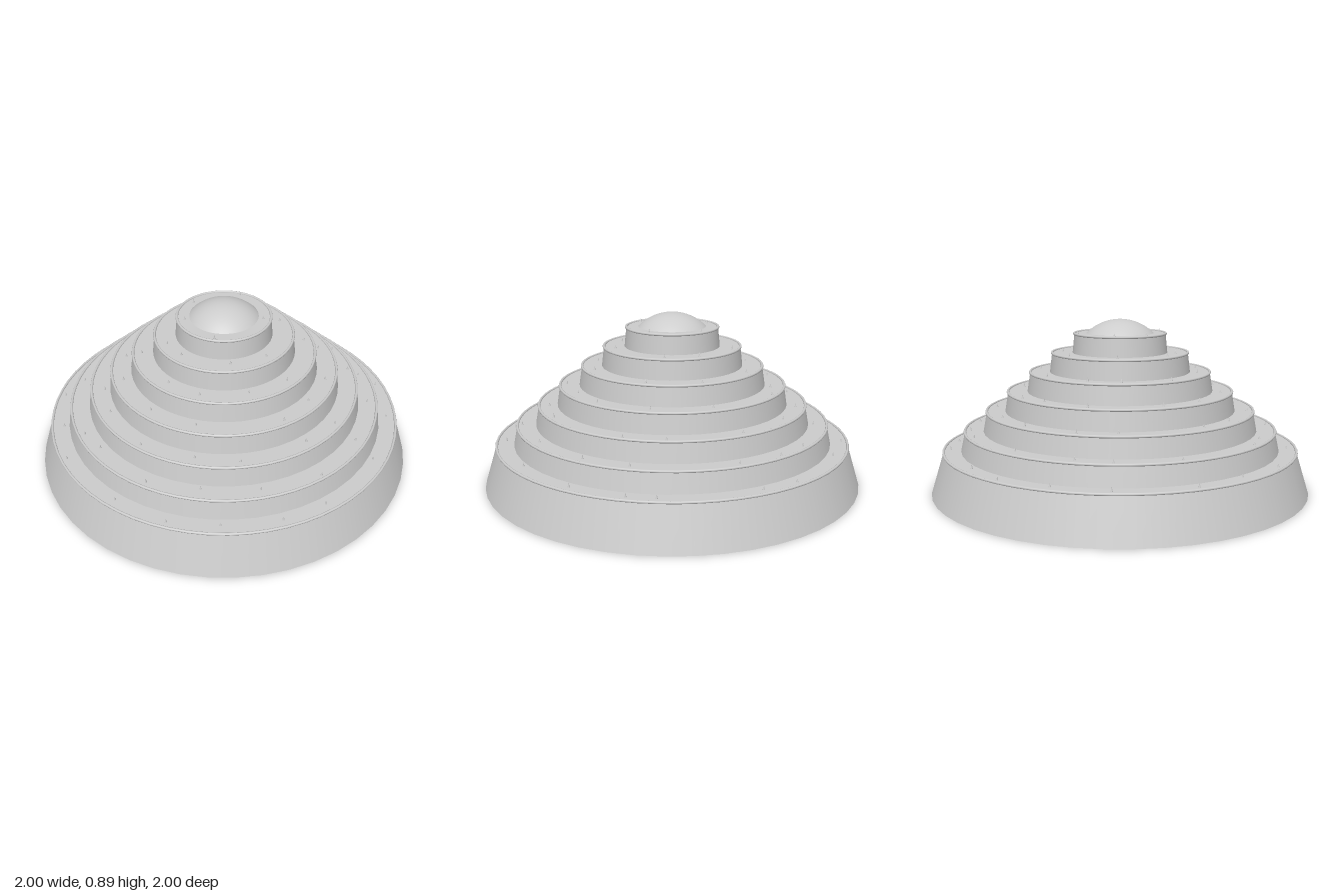
import * as THREE from 'three';

export function createModel() {
  const model = new THREE.Group();
  const stone = new THREE.MeshStandardMaterial({ color: 0xcccccc });
  stone.name = 'pale grey stone';

  const add = (name, geometry, y, parent = model) => {
    const mesh = new THREE.Mesh(geometry, stone);
    mesh.name = name;
    mesh.position.y = y;
    parent.add(mesh);
    return mesh;
  };

  // Small seeded generator for scattering the spikes
  let seed = 11;
  const random = () => (seed = (seed * 16807) % 2147483647) / 2147483647;

  // Stacked tiers: bottom radius, top radius, spikes on the terrace
  const tiers = [
    [1.0, 0.932, 18], [0.842, 0.82, 16], [0.724, 0.705, 14], [0.608, 0.592, 12],
    [0.49, 0.474, 10], [0.37, 0.358, 8], [0.25, 0.24, 5],
  ];
  const spikeGeometry = new THREE.ConeGeometry(0.006, 0.02, 6);

  let y = 0;
  tiers.forEach(([bottom, top, count], i) => {
    const height = i === 0 ? 0.22 : 0.1;
    add(i === 0 ? 'base' : `tier${i}`, new THREE.CylinderGeometry(top, bottom, height, 48), y + height / 2);
    y += height;

    // Raised rim round the terrace edge
    const rim = new THREE.TorusGeometry(top, 0.007, 8, 64);
    add(`rim${i}`, rim.rotateX(Math.PI / 2), y);

    // Little spikes scattered round the terrace
    const inner = i < tiers.length - 1 ? tiers[i + 1][0] : 0.18;
    const spikes = new THREE.Group();
    spikes.name = `terraceSpikes${i}`;
    model.add(spikes);
    for (let k = 0; k < count; k++) {
      const angle = ((k + 0.7 * random()) / count) * Math.PI * 2 + i;
      const radius = THREE.MathUtils.lerp(inner, top, 0.25 + 0.5 * random());
      const spike = add('spike', spikeGeometry, y + 0.01, spikes);
      spike.position.x = Math.cos(angle) * radius;
      spike.position.z = Math.sin(angle) * radius;
    }
  });

  // Shallow spherical cap on the summit
  const R = 0.25;
  const cap = new THREE.SphereGeometry(R, 40, 12, 0, Math.PI * 2, 0, Math.PI / 4);
  add('dome', cap, y + 0.075 - R);

  return model;
}
